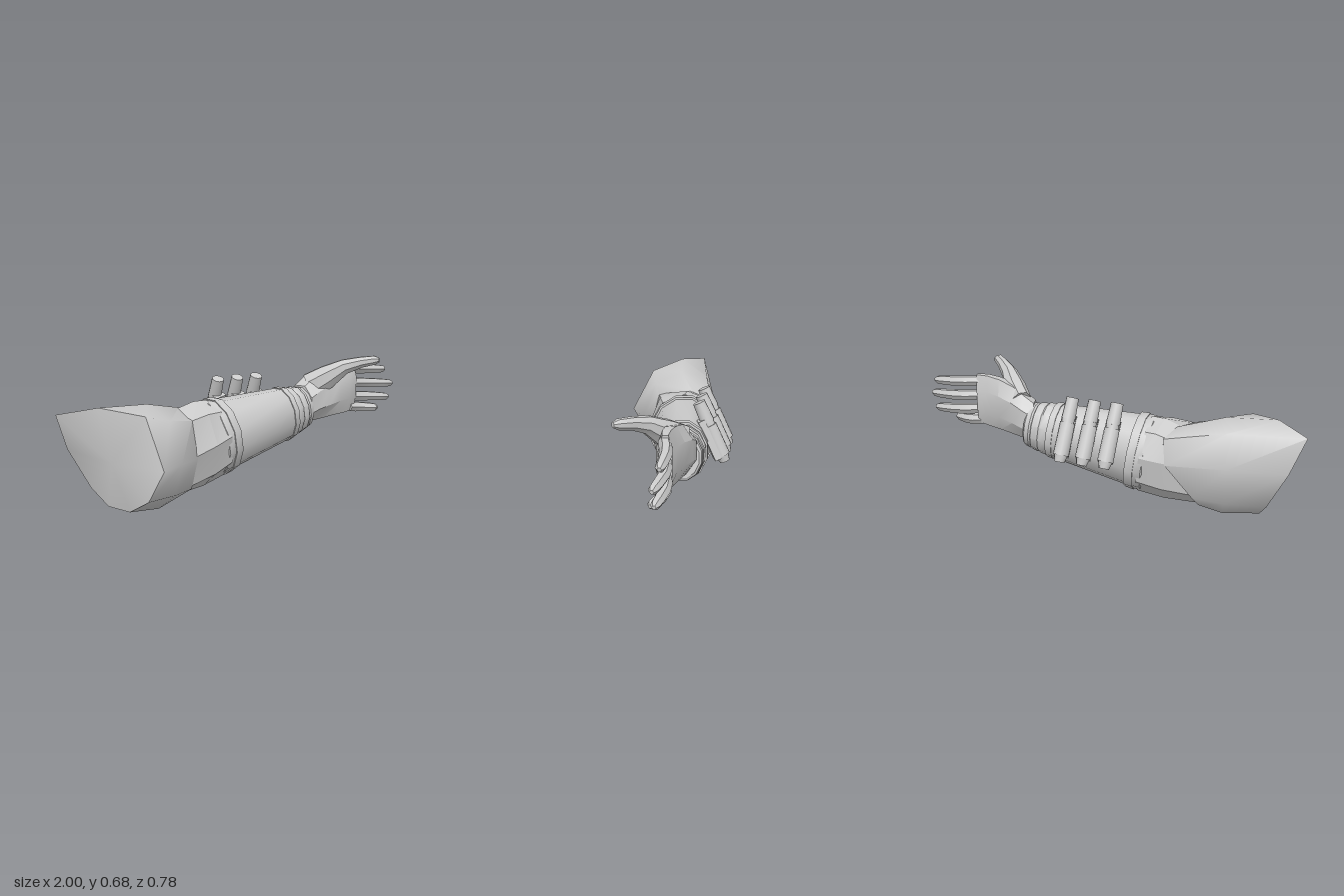
import * as THREE from 'three';
import { toCreasedNormals } from 'three/addons/utils/BufferGeometryUtils.js';

const V = (x, y, z) => new THREE.Vector3(x, y, z);
const material = new THREE.MeshStandardMaterial({ color: 0xcccccc });

// n-sided ring around c, facing along d, starting half a step past the top and turning towards -z
function ring(c, d, ry, rz, n, turn = 0.5) {
  const dir = d.clone().normalize();
  const u = V(0, 1, 0).addScaledVector(dir, -dir.y).normalize();
  const v = u.clone().cross(dir);
  return Array.from({ length: n }, (_, k) => {
    const a = ((k + turn) / n) * Math.PI * 2;
    return c.clone().addScaledVector(u, Math.cos(a) * ry).addScaledVector(v, Math.sin(a) * rz);
  });
}

const middle = (r) => r.reduce((s, p) => s.add(p), V(0, 0, 0)).divideScalar(r.length);
const resize = (r, f, dx) => {
  const m = middle(r);
  return r.map((p) => V(p.x + dx, m.y + (p.y - m.y) * f, m.z + (p.z - m.z) * f));
};

// Capped skin over a list of rings with equal point counts
function loft(name, rings, crease = 0.6) {
  const pos = [];
  const tri = (...pts) => pts.forEach((p) => pos.push(p.x, p.y, p.z));
  const n = rings[0].length;
  const first = rings[0], last = rings[rings.length - 1];
  const c0 = middle(first), c1 = middle(last);
  for (let k = 0; k < n; k++) {
    const j = (k + 1) % n;
    for (let i = 0; i + 1 < rings.length; i++) {
      const a = rings[i], b = rings[i + 1];
      tri(a[k], b[k], b[j]);
      tri(a[k], b[j], a[j]);
    }
    tri(c0, first[k], first[j]);
    tri(c1, last[j], last[k]);
  }
  const g = new THREE.BufferGeometry();
  g.setAttribute('position', new THREE.Float32BufferAttribute(pos, 3));
  const mesh = new THREE.Mesh(toCreasedNormals(g, crease), material);
  mesh.name = name;
  return mesh;
}

// Tapering limb along a path of [x, y, z, radiusY, radiusZ]
function limb(name, path, n) {
  const pts = path.map((p) => V(p[0], p[1], p[2]));
  return loft(name, path.map((p, i) => {
    const d = pts[Math.min(i + 1, pts.length - 1)].clone().sub(pts[Math.max(i - 1, 0)]);
    return ring(pts[i], d, p[3], p[4], n);
  }), 0.5);
}

// One canister with a neck, body, knob and mounting plate, running from top to bottom
function canister(top, bottom) {
  const g = new THREE.Group();
  g.name = 'canister';
  const len = top.distanceTo(bottom);
  const add = (name, geo, y, z = 0) => {
    const m = new THREE.Mesh(geo, material);
    m.name = name;
    m.position.set(0, y, z);
    g.add(m);
  };
  const cyl = (r0, r1, h) => toCreasedNormals(new THREE.CylinderGeometry(r0, r1, h, 12), 0.6);
  add('canisterTop', cyl(0.032, 0.036, 0.11), len / 2 - 0.055);
  add('canisterNeck', cyl(0.033, 0.033, 0.02), len / 2 - 0.12);
  add('canisterBody', cyl(0.039, 0.041, 0.17), len / 2 - 0.215);
  add('canisterKnob', cyl(0.036, 0.026, 0.04), -len / 2 + 0.02);
  add('canisterPlate', new THREE.BoxGeometry(0.075, 0.22, 0.035), -0.03, 0.03);
  g.position.copy(top).add(bottom).multiplyScalar(0.5);
  g.quaternion.setFromUnitVectors(V(0, 1, 0), top.clone().sub(bottom).normalize());
  return g;
}

export function createModel() {
  const model = new THREE.Group();
  model.name = 'armouredArm';
  const points = (list) => list.map((p) => V(...p));

  // Upper arm sleeve with a slanted shoulder cut and a slanted elbow edge
  const shoulder = points([
    [-0.88, 0.525, -0.2], [-1, 0.49, -0.362], [-0.92, 0.31, -0.387], [-0.83, 0.11, -0.33],
    [-0.81, 0.03, -0.23], [-0.8, 0.025, -0.09], [-0.81, 0.1, 0.05], [-0.78, 0.25, 0.125], [-0.77, 0.49, 0]]);
  const biceps = points([
    [-0.62, 0.515, -0.15], [-0.62, 0.48, -0.3], [-0.62, 0.31, -0.355], [-0.62, 0.11, -0.31],
    [-0.62, 0.02, -0.22], [-0.61, 0, -0.09], [-0.62, 0.09, 0.035], [-0.62, 0.25, 0.085], [-0.62, 0.45, 0.01]]);
  const elbowEdge = points([
    [-0.38, 0.465, -0.17], [-0.31, 0.43, -0.265], [-0.32, 0.3, -0.295], [-0.46, 0.12, -0.27],
    [-0.5, 0.05, -0.2], [-0.48, 0.03, -0.1], [-0.48, 0.09, 0.01], [-0.48, 0.25, 0.055], [-0.47, 0.43, 0.01]]);
  model.add(loft('upperArm', [shoulder, biceps, elbowEdge, resize(elbowEdge, 0.92, 0)], 1.1));

  // Forearm axis
  const axis = V(1, 0.15, 0.2).normalize();
  const origin = V(-0.2, 0.295, -0.09);
  const along = (s) => origin.clone().addScaledVector(axis, s);

  // Faceted elbow guard joining the sleeve to the forearm
  const guardStart = resize(elbowEdge, 0.96, -0.04);
  const guardEnd = ring(along(-0.02), axis, 0.205, 0.188, 9, 0);
  const guardMid = resize(guardStart.map((p, i) => p.clone().lerp(guardEnd[i], 0.6)), 1.06, 0);
  model.add(loft('elbowGuard', [guardStart, guardMid, guardEnd], 0.3));

  // Banded forearm and wrist: [distance along axis, radius], narrowing front to back
  const banded = (name, profile) => model.add(loft(name,
    profile.map(([s, r]) => ring(along(s), axis, r, r * (0.92 - 0.15 * s), 12))));
  banded('forearm', [
    [-0.05, 0.19], [-0.04, 0.202], [0, 0.202], [0, 0.208], [0.045, 0.204], [0.045, 0.193],
    [0.46, 0.15], [0.46, 0.156], [0.495, 0.152], [0.495, 0.14]]);
  banded('wristCuff', [
    [0.48, 0.136], [0.51, 0.143], [0.535, 0.141], [0.545, 0.132], [0.555, 0.136],
    [0.585, 0.13], [0.59, 0.12], [0.6, 0.126], [0.625, 0.12], [0.635, 0.105]]);

  // Three canisters on the back of the forearm
  for (let i = 0; i < 3; i++) {
    const x = -0.075 + i * 0.117, z = -0.172 + i * 0.036;
    model.add(canister(V(x, 0.58, z), V(x + 0.057, 0.275, z - 0.128)));
  }

  // Palm, flattening towards the knuckles
  const palm = [
    [0.38, 0.405, 0.035, 0.115, 0.09], [0.44, 0.432, 0.05, 0.13, 0.092], [0.5, 0.455, 0.078, 0.145, 0.09],
    [0.58, 0.472, 0.112, 0.152, 0.07], [0.65, 0.48, 0.142, 0.153, 0.054], [0.715, 0.485, 0.16, 0.146, 0.036]];
  model.add(loft('palm', palm.map(([x, y, z, ry, rz]) => ring(V(x, y, z), V(1, 0, 0), ry, rz, 8)), 0.45));

  // Thumb with a broad root
  model.add(limb('thumb', [
    [0.46, 0.5, 0.05, 0.08, 0.06], [0.505, 0.555, 0.13, 0.07, 0.062], [0.55, 0.617, 0.22, 0.044, 0.044],
    [0.595, 0.642, 0.295, 0.032, 0.033], [0.635, 0.655, 0.36, 0.026, 0.027], [0.645, 0.657, 0.383, 0.014, 0.014]], 8));

  // Fingers: [name, base y, tip y, tip x, tip z]
  const fingers = [
    ['indexFinger', 0.585, 0.565, 0.97, 0.225], ['middleFinger', 0.505, 0.48, 1, 0.262],
    ['ringFinger', 0.428, 0.4, 0.98, 0.25], ['littleFinger', 0.365, 0.35, 0.86, 0.25]];
  // [fraction of length, fraction of forward curl, radius]
  const stations = [[0, 0, 0.028], [0.3, 0.08, 0.031], [0.55, 0.3, 0.029], [0.8, 0.68, 0.026], [0.94, 0.92, 0.022], [1, 1, 0.01]];
  const x0 = 0.69, z0 = 0.16;
  for (const [name, y0, y1, x1, z1] of fingers) {
    model.add(limb(name, stations.map(([t, b, r]) =>
      [x0 + (x1 - x0) * t, y0 + (y1 - y0) * t, z0 + (z1 - z0) * b, r, r]), 6));
  }
  return model;
}
